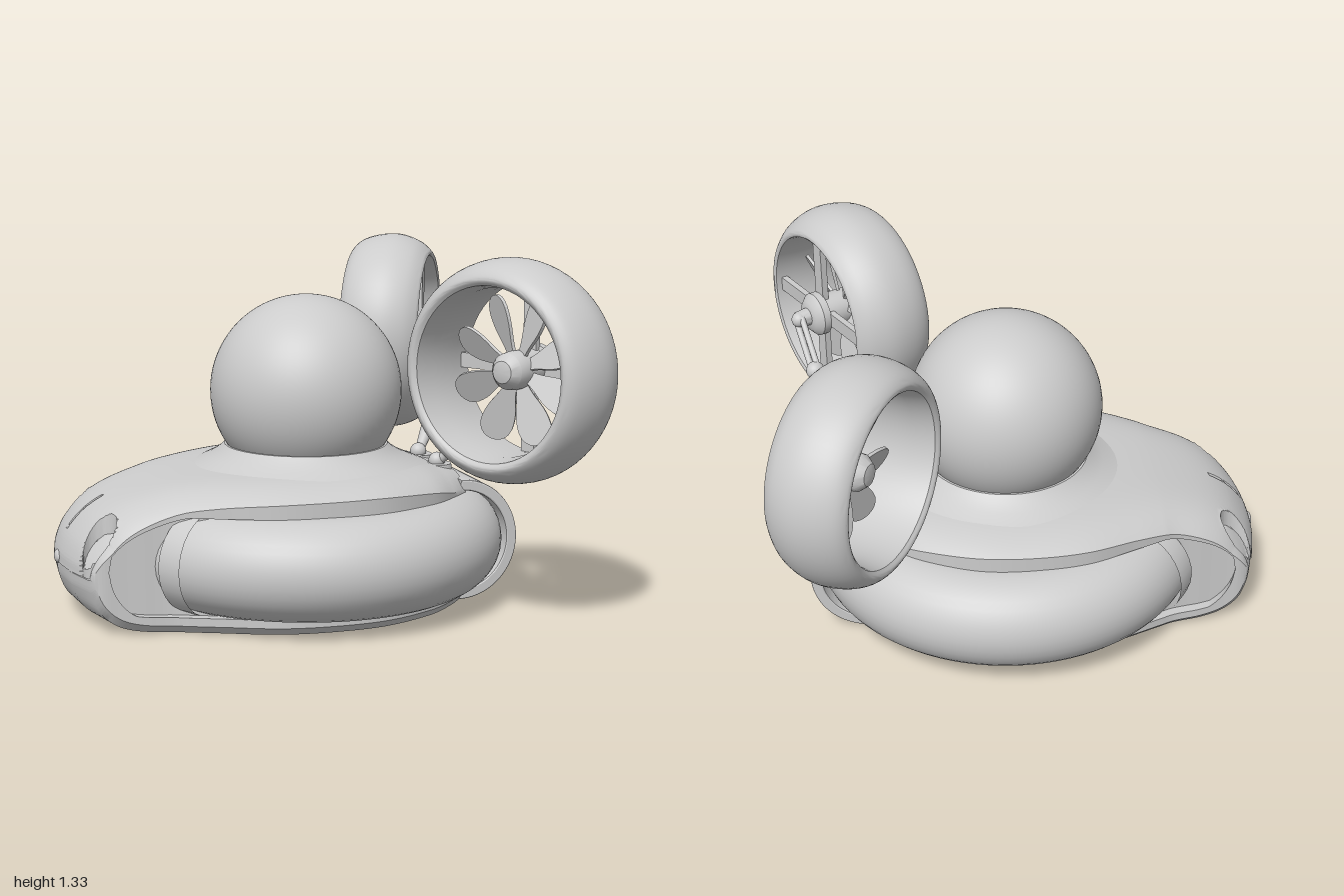
import * as THREE from 'three';
import { toCreasedNormals } from 'three/addons/utils/BufferGeometryUtils.js';

const grey = new THREE.MeshStandardMaterial({ color: 0xcccccc });
const V = (x, y, z) => new THREE.Vector3(x, y, z);

function add(parent, name, geometry, x = 0, y = 0, z = 0) {
  const mesh = new THREE.Mesh(geometry, grey);
  mesh.name = name;
  mesh.position.set(x, y, z);
  parent.add(mesh);
  return mesh;
}

// Round bar between two points
function rod(parent, name, a, b, ra, rb = ra) {
  const mid = a.clone().add(b).multiplyScalar(0.5);
  const dir = b.clone().sub(a);
  const mesh = add(parent, name, new THREE.CylinderGeometry(rb, ra, dir.length(), 14), mid.x, mid.y, mid.z);
  mesh.quaternion.setFromUnitVectors(V(0, 1, 0), dir.normalize());
  return mesh;
}

// Hull lofted from nose (-x) to stern, with a side channel for the float and two lamp sockets
function hullGeometry() {
  const stations = [ // x, half width, top, bottom
    [-0.91, 0.335, 0.21, 0.21], [-0.903, 0.345, 0.26, 0.155], [-0.87, 0.355, 0.33, 0.085],
    [-0.8, 0.36, 0.405, 0.035], [-0.7, 0.37, 0.46, 0.012], [-0.55, 0.39, 0.505, 0.005],
    [-0.4, 0.45, 0.53, 0.005], [-0.2, 0.53, 0.545, 0.005], [0, 0.555, 0.55, 0.005],
    [0.2, 0.537, 0.55, 0.005], [0.4, 0.45, 0.535, 0.005], [0.52, 0.35, 0.51, 0.005], [0.6, 0.26, 0.49, 0.005],
  ];
  const spline = new THREE.CubicInterpolant(stations.map((_, i) => i), stations.flat(), 4, []);
  const rings = (stations.length - 1) * 14, deckSteps = 40;
  const pos = [], idx = [];
  let n = 0;
  for (let i = 0; i <= rings; i++) {
    const [s, w, top, bottom] = spline.evaluate(i / 14);
    const edge = top - Math.min(0.065, (top - bottom) * 0.2);
    const low = bottom + Math.min(0.03, (top - bottom) * 0.2);
    // channel opening grows from a rounded front end
    const u = Math.min(1, Math.max(0, (s + 0.85) / 0.22));
    const h = 0.188 * Math.sqrt(1 - (1 - u) ** 2);
    const inset = u > 0 ? 0.04 : 0;
    const mid = Math.min(Math.max(0.24, low), edge);
    const lo = Math.max(mid - h, low + (mid - low) * 0.15), hi = Math.min(mid + h, edge - (edge - mid) * 0.1);
    const a = u > 0 ? lo : mid, b = u > 0 ? hi : mid;
    const half = [[0, bottom], [w * 0.5, bottom], [w - 0.03, bottom], [w, low],
      [w, a], [w - inset, a], [w - inset, b], [w, b]];
    for (let k = deckSteps; k >= 0; k--) {
      const t = k / deckSteps;
      half.push([w * t, edge + (top - edge) * (1 - t ** 5)]);
    }
    const ring = [...half, ...half.slice(1, -1).reverse().map(([z, y]) => [-z, y])];
    n = ring.length;
    const fade = Math.max(0, 1 - (s + 0.91) / 0.4);
    for (let [z, y] of ring) {
      let x = s + 0.075 * (z / 0.35) ** 2 * fade;
      // lamp sockets sunk into the nose
      const cz = 0.265 * Math.sign(z), r = Math.hypot(x + 0.8, z - cz), R = 0.06;
      if (y >= edge && r < R + 0.01 && r > 0) {
        if (r > R - 0.01) {
          const f = (r < R ? R - 0.002 : R + 0.002) / r;
          x = -0.8 + (x + 0.8) * f;
          z = cz + (z - cz) * f;
        }
        if (r < R) y -= 0.06;
      }
      pos.push(x, y, z);
    }
  }
  for (let j = 0; j < n; j++) pos.push(0.6, 0.24, 0); // stern cap
  for (let i = 0; i <= rings; i++) {
    for (let j = 0; j < n; j++) {
      const k = (j + 1) % n;
      const a = i * n + j, b = a + n, c = (i + 1) * n + k, d = i * n + k;
      idx.push(a, b, d);
      if (i < rings) idx.push(b, c, d);
    }
  }
  const g = new THREE.BufferGeometry();
  g.setAttribute('position', new THREE.Float32BufferAttribute(pos, 3));
  g.setIndex(idx);
  return toCreasedNormals(g, 0.6);
}

// Curved cover that wraps the float at the stern
function sternCover() {
  const shape = new THREE.Shape();
  shape.absellipse(0.585, 0.24, 0.22, 0.226, -Math.PI / 2, Math.PI / 2, false);
  shape.absellipse(0.585, 0.24, 0.19, 0.196, Math.PI / 2, -Math.PI / 2, true);
  shape.closePath();
  const g = new THREE.ExtrudeGeometry(shape, {
    depth: 0.51, curveSegments: 32, bevelSize: 0.006, bevelThickness: 0.01, bevelSegments: 2,
  });
  g.translate(0, 0, -0.255);
  return toCreasedNormals(g, 0.6);
}

function bladeGeometry() {
  const s = new THREE.Shape();
  s.moveTo(-0.02, 0.04);
  s.bezierCurveTo(-0.025, 0.12, -0.06, 0.14, -0.06, 0.22);
  s.bezierCurveTo(-0.055, 0.3, 0.055, 0.3, 0.06, 0.22);
  s.bezierCurveTo(0.06, 0.14, 0.025, 0.12, 0.02, 0.04);
  const g = new THREE.ExtrudeGeometry(s, { depth: 0.012, bevelEnabled: false, curveSegments: 10 });
  return g.translate(0, 0, -0.006);
}

// Ducted fan, its axis along local +x
function buildFan(side) {
  const fan = new THREE.Group();
  fan.name = side > 0 ? 'leftFan' : 'rightFan';
  const outer = [[0.312, -0.14], [0.335, -0.152], [0.368, -0.125], [0.392, -0.07], [0.402, 0],
    [0.395, 0.06], [0.37, 0.12], [0.335, 0.16], [0.32, 0.165]];
  const curve = new THREE.SplineCurve(outer.map(p => new THREE.Vector2(...p))).getPoints(36);
  const inner = [[0.312, 0.16], [0.304, 0.08], [0.3, -0.06], [0.312, -0.14]].map(p => new THREE.Vector2(...p));
  add(fan, 'duct', toCreasedNormals(new THREE.LatheGeometry([...curve, ...inner], 64), 0.6)).rotation.z = -Math.PI / 2;
  // guard bars
  for (let i = 0; i < 2; i++) add(fan, 'guardBar', new THREE.BoxGeometry(0.025, 0.615, 0.055), 0.125).rotation.x = i * Math.PI / 2;
  // blades
  const blade = bladeGeometry();
  for (let i = 0; i < 8; i++) {
    const spoke = new THREE.Group();
    spoke.name = 'bladeMount';
    spoke.rotation.x = (i + 0.5) * Math.PI / 4;
    add(spoke, 'blade', blade, 0.04).rotation.y = Math.PI / 2 - side * 0.45;
    fan.add(spoke);
  }
  // hub with domed nose and stepped back
  const hub = [[0, -0.06], [0.04, -0.05], [0.065, -0.02], [0.07, 0.02], [0.07, 0.13], [0.085, 0.135],
    [0.085, 0.165], [0.06, 0.19], [0.035, 0.195], [0.03, 0.24], [0, 0.24]].map(p => new THREE.Vector2(...p));
  add(fan, 'hub', toCreasedNormals(new THREE.LatheGeometry(hub, 28), 0.6)).rotation.z = -Math.PI / 2;
  fan.position.set(0.613, 0.935, side * 0.62);
  fan.rotation.y = side * Math.PI / 6;
  return fan;
}

// Jointed arm from the deck to the fan hub
function buildArm(side) {
  const arm = new THREE.Group();
  arm.name = side > 0 ? 'leftArm' : 'rightArm';
  const base = V(0.545, 0.51, side * 0.1), elbow = V(0.76, 0.8, side * 0.33), wrist = V(0.815, 0.935, side * 0.5);
  add(arm, 'basePad', new THREE.CylinderGeometry(0.055, 0.062, 0.04, 28), base.x, 0.49, base.z);
  add(arm, 'baseJoint', new THREE.SphereGeometry(0.032, 20, 14), base.x, base.y + 0.01, base.z);
  const mid = base.clone().lerp(elbow, 0.45);
  rod(arm, 'lowerArm', base, mid, 0.016, 0.032);
  rod(arm, 'lowerArm', mid, elbow, 0.032, 0.016);
  add(arm, 'elbow', new THREE.SphereGeometry(0.036, 20, 14), ...elbow);
  for (const k of [-1, 1]) {
    const offset = V(0.012 * k, -0.01 * k, side * 0.012 * k);
    rod(arm, 'upperRod', elbow.clone().add(offset), wrist.clone().add(offset), 0.012);
  }
  add(arm, 'wrist', new THREE.SphereGeometry(0.03, 20, 14), ...wrist);
  return arm;
}

export function createModel() {
  const model = new THREE.Group();
  model.name = 'hovercraft';
  add(model, 'hull', hullGeometry());
  add(model, 'noseKnob', new THREE.SphereGeometry(1, 16, 12), -0.905, 0.225, 0).scale.set(0.016, 0.025, 0.038);

  // Float ring around the hull, with a collar where each end meets the nose
  add(model, 'floatRing', new THREE.TorusGeometry(0.56, 0.186, 36, 96), 0.05, 0.245, 0).rotation.x = Math.PI / 2;
  for (const side of [-1, 1]) {
    const collar = new THREE.TorusGeometry(0.575, 0.192, 32, 6, 0.13);
    collar.rotateX(Math.PI / 2).rotateY(side > 0 ? -2.49 + 0.0 : 2.49 + 0.13);
    add(model, 'floatCollar', collar, 0.05, 0.245, 0);
  }
  add(model, 'sternCover', sternCover());

  // Dome on a flared seat
  const seat = [[0.47, 0.515], [0.42, 0.535], [0.37, 0.557], [0.33, 0.582], [0.31, 0.602], [0.285, 0.602]]
    .map(p => new THREE.Vector2(...p));
  add(model, 'domeSeat', toCreasedNormals(new THREE.LatheGeometry(seat, 64), 0.6), 0.05);
  add(model, 'dome', new THREE.SphereGeometry(0.362, 64, 40), 0.05, 0.802, 0);

  for (const side of [-1, 1]) model.add(buildFan(side), buildArm(side));
  return model;
}
